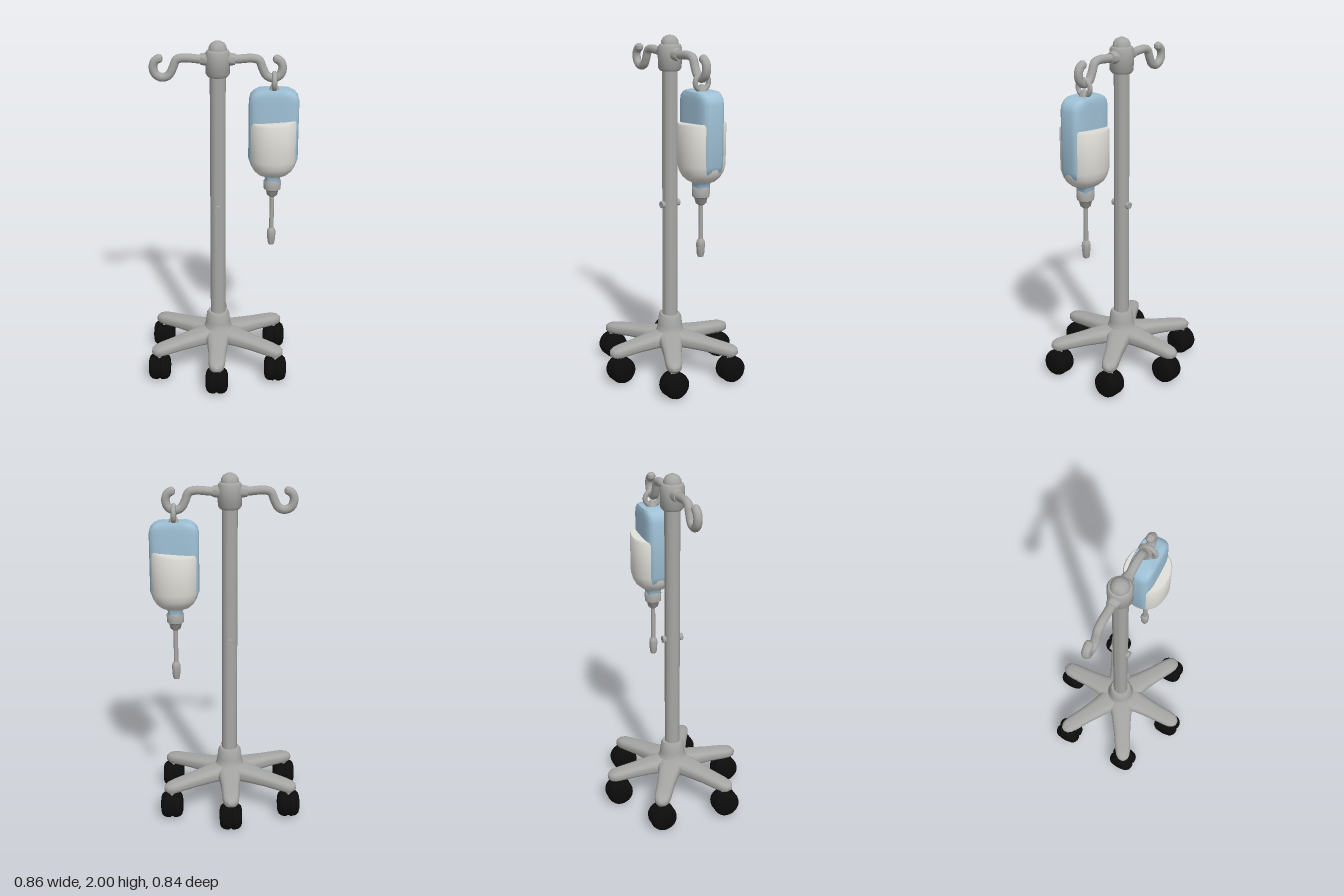
import * as THREE from 'three';
import { toCreasedNormals } from 'three/addons/utils/BufferGeometryUtils.js';

const POLE_X = -0.02;
const BAG_X = 0.29;

// Closed skin over superelliptic rings [y, halfX, halfZ, offsetZ], stacked along y.
function loft(rings, power = 2, sides = 40) {
  const pos = [], index = [];
  const bend = (v) => Math.sign(v) * Math.abs(v) ** (2 / power);
  for (const [y, a, b, off = 0] of rings) {
    for (let i = 0; i < sides; i++) {
      const t = (i / sides) * Math.PI * 2;
      pos.push(a * bend(Math.cos(t)), y, b * bend(Math.sin(t)) + off);
    }
  }
  for (let j = 0; j < rings.length - 1; j++) {
    for (let i = 0; i < sides; i++) {
      const p = j * sides + i, q = j * sides + (i + 1) % sides;
      index.push(p, p + sides, q, q, p + sides, q + sides);
    }
  }
  const last = rings.length - 1, foot = pos.length / 3;
  pos.push(0, rings[0][0], rings[0][3] ?? 0, 0, rings[last][0], rings[last][3] ?? 0);
  for (let i = 0; i < sides; i++) {
    const n = (i + 1) % sides;
    index.push(foot, i, n, foot + 1, last * sides + n, last * sides + i);
  }
  const g = new THREE.BufferGeometry();
  g.setAttribute('position', new THREE.Float32BufferAttribute(pos, 3));
  g.setIndex(index);
  return g;
}

// Turned part from [radius, y] points, bottom to top.
const turned = (points, sides = 32) =>
  new THREE.LatheGeometry(points.map(([r, y]) => new THREE.Vector2(r, y)), sides);

export function createModel() {
  const model = new THREE.Group();
  model.name = 'dripStand';
  const paint = (name, color) => {
    const m = new THREE.MeshStandardMaterial({ color });
    m.name = name;
    return m;
  };
  const metal = paint('greyMetal', 0xa6a6a4);
  const rubber = paint('blackRubber', 0x0c0c0c);
  const plastic = paint('bluePlastic', 0x9fc1d6);
  const fluid = paint('whiteFluid', 0xdfddd7);

  const add = (name, geometry, material, x = 0, y = 0, z = 0) => {
    const mesh = new THREE.Mesh(toCreasedNormals(geometry, 0.7), material);
    mesh.name = name;
    mesh.position.set(x, y, z);
    model.add(mesh);
    return mesh;
  };

  // Six-legged base with a caster under each leg
  const leg = loft([
    [0, 0.07, 0.048, -0.215], [0.09, 0.073, 0.045, -0.211], [0.14, 0.062, 0.042, -0.208],
    [0.24, 0.052, 0.036, -0.201], [0.34, 0.048, 0.033, -0.193], [0.375, 0.043, 0.03, -0.19],
    [0.398, 0.031, 0.023, -0.188], [0.41, 0.012, 0.01, -0.187],
  ], 3, 32).rotateX(Math.PI / 2);
  const wheel = turned([
    [0, -0.064], [0.04, -0.064], [0.06, -0.058], [0.072, -0.045], [0.077, -0.028], [0.077, -0.01],
    [0.071, -0.005], [0.071, 0.005],
    [0.077, 0.01], [0.077, 0.028], [0.072, 0.045], [0.06, 0.058], [0.04, 0.064], [0, 0.064],
  ], 28).rotateZ(Math.PI / 2);
  for (const degrees of [0, 60, 120, 180, 240, 300]) {
    const a = THREE.MathUtils.degToRad(degrees);
    const diagonal = degrees % 180 !== 0;
    const mesh = add('leg', leg, metal, POLE_X);
    mesh.rotation.y = a;
    mesh.scale.z = diagonal ? 1.07 : 1;
    const r = diagonal ? 0.395 : 0.345;
    const x = POLE_X + Math.sin(a) * r, z = Math.cos(a) * r;
    add('caster', wheel, rubber, x, 0.08, z);
    add('casterStem', new THREE.CylinderGeometry(0.022, 0.022, 0.06, 16), metal, x, 0.16, z);
  }

  // Hub, pole and head
  add('hubCollar', turned([
    [0, 0.18], [0.095, 0.18], [0.095, 0.24], [0.078, 0.262], [0.073, 0.29], [0.067, 0.34], [0.058, 0.356], [0, 0.356],
  ]), metal, POLE_X);
  add('pole', new THREE.CylinderGeometry(0.044, 0.044, 1.54, 32), metal, POLE_X, 1.08);
  add('headCollar', turned([
    [0, 1.805], [0.055, 1.805], [0.066, 1.82], [0.068, 1.93], [0.06, 1.948], [0.05, 1.952],
    [0.048, 1.97], [0.037, 1.988], [0.018, 1.999], [0, 2],
  ]), metal, POLE_X);
  add('heightPin', new THREE.CylinderGeometry(0.02, 0.02, 0.122, 16).rotateX(Math.PI / 2), metal, POLE_X, 1.035);

  // Mirrored arms ending in open hooks
  for (const side of [-1, 1]) {
    const path = new THREE.CatmullRomCurve3([
      [0, 1.895], [0.1, 1.9], [0.19, 1.906], [0.225, 1.895], [0.245, 1.85], [0.268, 1.81],
      [0.305, 1.797], [0.34, 1.815], [0.353, 1.855], [0.342, 1.888], [0.322, 1.902],
    ].map(([x, y]) => new THREE.Vector3(POLE_X + side * x, y, 0)));
    add('hookArm', new THREE.TubeGeometry(path, 64, 0.024, 14), metal);
    add('hookTip', new THREE.SphereGeometry(0.024, 14, 10), metal, POLE_X + side * 0.322, 1.902);
    add('armSocket', new THREE.CylinderGeometry(0.03, 0.038, 0.04, 20).rotateZ(-side * Math.PI / 2),
      metal, POLE_X + side * 0.075, 1.9);
  }

  // Hanging loop and its foot
  add('bagLoop', new THREE.TorusGeometry(0.043, 0.014, 12, 28).rotateY(Math.PI / 2), metal, BAG_X, 1.778);
  add('loopFoot', turned([[0, 1.72], [0.03, 1.72], [0.026, 1.74], [0.014, 1.765], [0, 1.77]], 20), metal, BAG_X);

  // Bag shell
  add('bagShell', loft([
    [1.19, 0.04, 0.04], [1.222, 0.043, 0.042], [1.24, 0.06, 0.05], [1.265, 0.093, 0.063],
    [1.295, 0.122, 0.071], [1.34, 0.139, 0.073], [1.67, 0.139, 0.073], [1.7, 0.132, 0.072],
    [1.72, 0.115, 0.07], [1.732, 0.092, 0.066],
  ], 4, 48), plastic, BAG_X);

  // Fluid bulging out at front and back, with a tilted surface
  const liquid = loft([
    [1.23, 0.05, 0.045], [1.243, 0.085, 0.075], [1.265, 0.108, 0.1], [1.295, 0.125, 0.116],
    [1.335, 0.136, 0.126], [1.55, 0.136, 0.128], [1.562, 0.13, 0.122],
  ], 2.15, 48);
  const p = liquid.attributes.position;
  for (let i = 0; i < p.count; i++) {
    if (p.getY(i) > 1.5) p.setY(i, p.getY(i) + 0.08 * p.getX(i));
  }
  add('fluid', liquid, fluid, BAG_X);

  // Outlet cap, drip line and end piece
  add('outletCap', turned([
    [0, 1.1], [0.016, 1.1], [0.03, 1.112], [0.036, 1.14], [0.048, 1.15], [0.05, 1.195], [0.044, 1.205], [0, 1.205],
  ], 24), metal, BAG_X);
  add('dripLine', new THREE.CylinderGeometry(0.013, 0.013, 0.24, 16), metal, BAG_X, 1.0);
  add('lineEnd', turned([
    [0, 0.797], [0.016, 0.8], [0.021, 0.815], [0.025, 0.87], [0.023, 0.89], [0.013, 0.905], [0, 0.905],
  ], 20), metal, BAG_X);

  return model;
}
